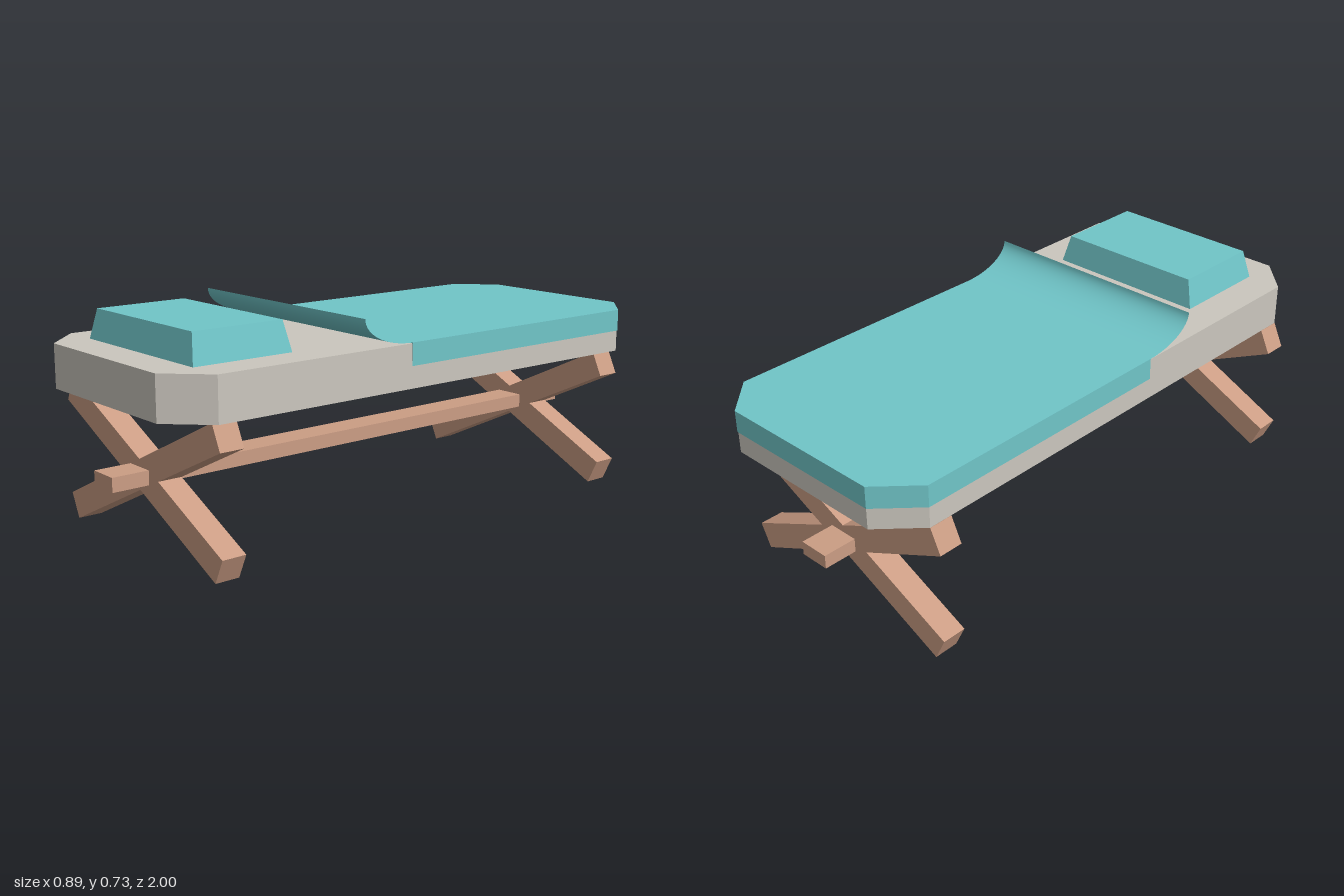
import * as THREE from 'three';

const CX = 0.018; // the bedding sits slightly off the frame's centre line

function mat(name, color) {
  const m = new THREE.MeshStandardMaterial({ color });
  m.name = name;
  return m;
}

// Flat outline given as [x, z] points, raised from y0 to y1
function slab(points, y0, y1) {
  const shape = new THREE.Shape(points.map(([x, z]) => new THREE.Vector2(x, -z)));
  const geo = new THREE.ExtrudeGeometry(shape, { depth: y1 - y0, bevelEnabled: false });
  return geo.rotateX(-Math.PI / 2).translate(CX, y0, 0);
}

export function createModel() {
  const group = new THREE.Group();
  group.name = 'campBed';
  const wood = mat('wood', 0xcb9d84);
  const linen = mat('linen', 0xcbc7be);
  const teal = mat('tealFabric', 0x70c5c8);
  teal.side = THREE.DoubleSide; // the turned-up blanket is an open sheet

  const add = (name, geo, material) => {
    const mesh = new THREE.Mesh(geo, material);
    mesh.name = name;
    group.add(mesh);
    return mesh;
  };

  // Crossed legs at both ends
  for (const [end, z] of [['front', 0.828], ['back', -0.828]]) {
    for (const side of [1, -1]) {
      const leg = add(end + (side > 0 ? 'LegA' : 'LegB'), new THREE.BoxGeometry(0.947, 0.091, 0.085), wood);
      leg.position.set(0, 0.244, z);
      leg.rotation.z = side * 0.442;
    }
  }

  // Long bar joining the crossings
  add('crossbar', new THREE.BoxGeometry(0.108, 0.048, 1.99).translate(0, 0.245, 0.005), wood);

  // Mattress with cut corners
  const w = 0.426, c = 0.3, l = 0.998, k = 0.87;
  add('mattress', slab([[-w, -k], [-c, -l], [c, -l], [w, -k], [w, k], [c, l], [-c, l], [-w, k]], 0.488, 0.635), linen);

  // Blanket wrapped over the back part of the mattress
  const e = 0.002, fold = 0.13;
  add('blanket', slab([[-w - e, -k - e], [-c - e, -l - e], [c + e, -l - e], [w + e, -k - e],
    [w + e, fold], [-w - e, fold]], 0.562, 0.638), teal);

  // Turned-up edge of the blanket: a sheet bent along a quarter ellipse
  const curl = new THREE.PlaneGeometry(2 * (w + e), 1, 1, 16).rotateX(-Math.PI / 2);
  const p = curl.attributes.position;
  for (let i = 0; i < p.count; i++) {
    const a = (p.getZ(i) + 0.5) * Math.PI / 2;
    p.setXYZ(i, p.getX(i) + CX, 0.638 + 0.096 * (1 - Math.cos(a)), fold + 0.197 * Math.sin(a));
  }
  curl.computeVertexNormals();
  add('blanketFold', curl, teal);

  // Pillow: a box that narrows towards the top
  const pillow = new THREE.BoxGeometry(0.6, 0.1, 0.36);
  const q = pillow.attributes.position;
  for (let i = 0; i < q.count; i++) {
    if (q.getY(i) > 0) q.setXYZ(i, q.getX(i) * 0.912, q.getY(i), q.getZ(i) * 0.91);
  }
  const pillowGeo = pillow.toNonIndexed();
  pillowGeo.computeVertexNormals();
  add('pillow', pillowGeo.translate(CX, 0.685, 0.69), teal);

  return group;
}
